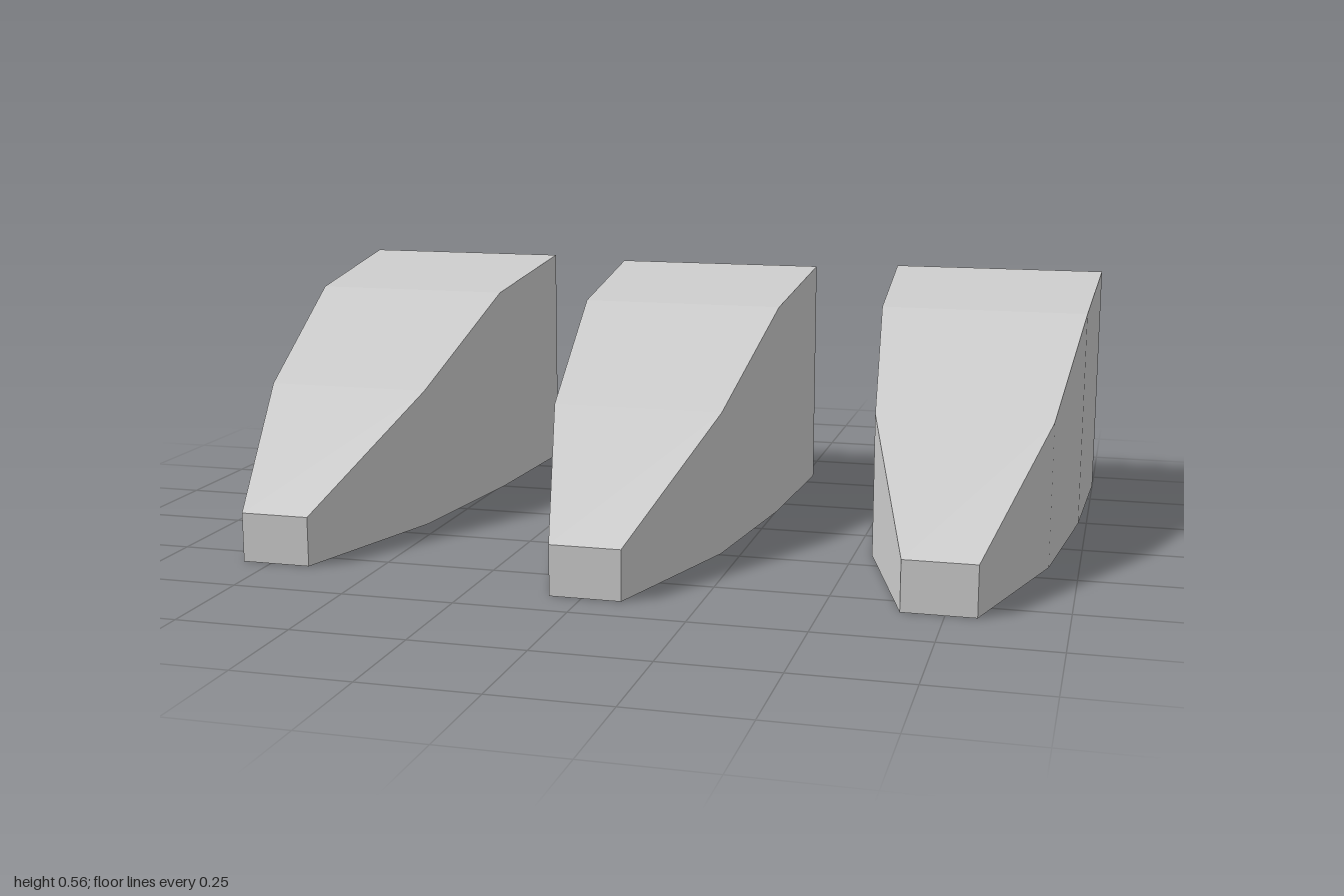
import * as THREE from 'three';

// Claw cross-sections from back to tip: z, half width, height
const SECTIONS = [
  [-0.614, 0.263, 0.565],
  [-0.207, 0.244, 0.512],
  [0.203, 0.197, 0.328],
  [0.614, 0.079, 0.112],
];

// A box split along z, with each ring of vertices fitted to its cross-section
function clawGeometry() {
  const geometry = new THREE.BoxGeometry(1, 1, 1, 1, 1, SECTIONS.length - 1);
  const p = geometry.attributes.position;
  for (let i = 0; i < p.count; i++) {
    const ring = Math.round((p.getZ(i) + 0.5) * (SECTIONS.length - 1));
    const [z, halfWidth, height] = SECTIONS[ring];
    p.setXYZ(i, p.getX(i) * 2 * halfWidth, (p.getY(i) + 0.5) * height, z);
  }
  const flat = geometry.toNonIndexed();
  flat.computeVertexNormals();
  return flat;
}

export function createModel() {
  const group = new THREE.Group();
  group.name = 'claws';
  const geometry = clawGeometry();
  const material = new THREE.MeshStandardMaterial({ color: 0xcccccc, flatShading: true });

  // Three matching claws, the middle one set further forward
  const claws = [
    ['rightClaw', -0.737, -0.038],
    ['middleClaw', 0.008, 0.038],
    ['leftClaw', 0.737, -0.038],
  ];
  for (const [name, x, z] of claws) {
    const claw = new THREE.Mesh(geometry, material);
    claw.name = name;
    claw.position.set(x, 0, z);
    group.add(claw);
  }
  return group;
}
